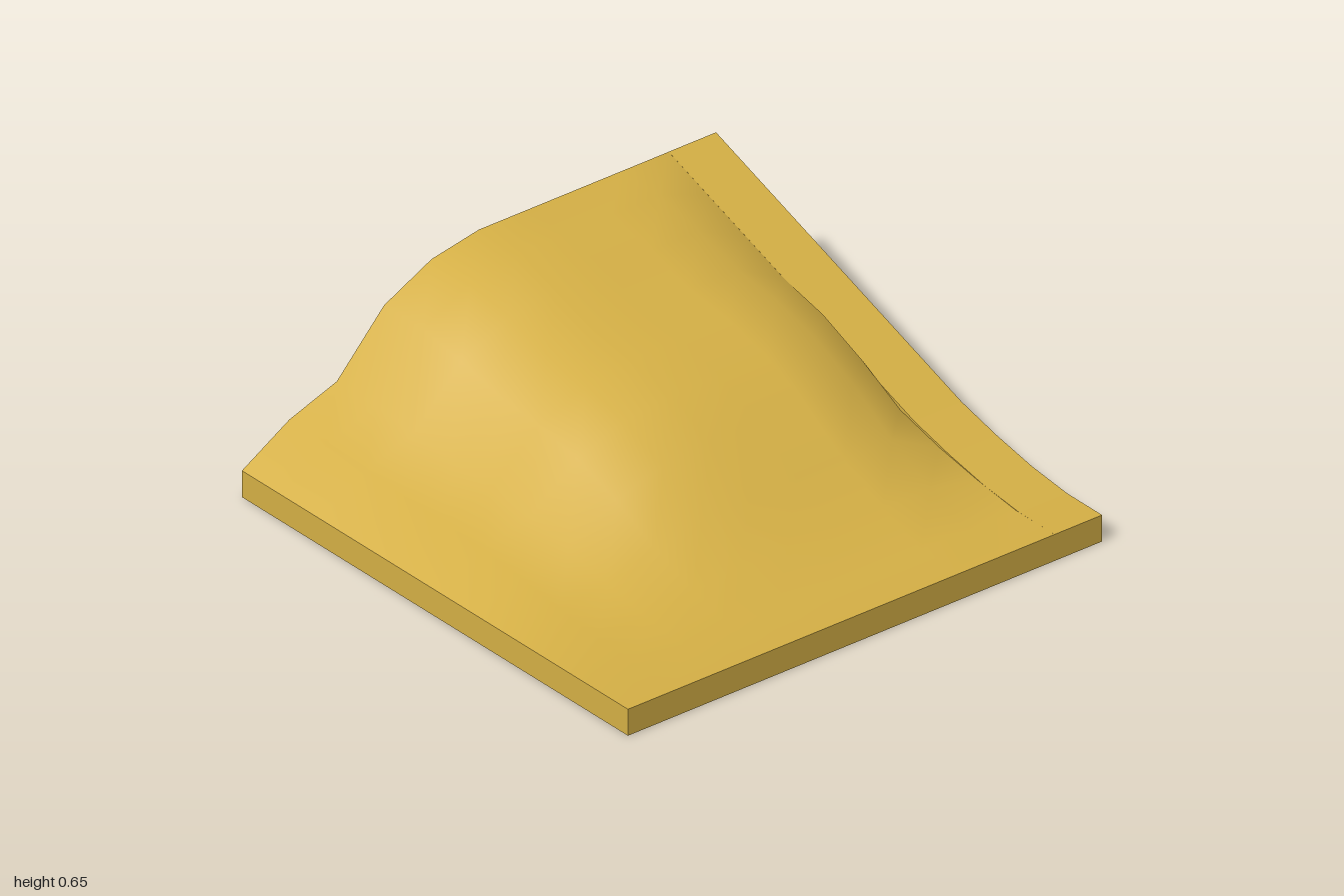
import * as THREE from 'three';
import { mergeGeometries } from 'three/addons/utils/BufferGeometryUtils.js';

const THICK = 0.1;

// evenly spaced values from a to b
const steps = (a, b, n) => Array.from({ length: n + 1 }, (_, i) => a + ((b - a) * i) / n);

// grid surface over us x vs, facing along dU x dV
function sheet(us, vs, point) {
  const pos = [], index = [], n = vs.length;
  us.forEach((u) => vs.forEach((v) => pos.push(...point(u, v))));
  for (let i = 0; i < us.length - 1; i++) {
    for (let j = 0; j < n - 1; j++) {
      const a = i * n + j, b = a + n;
      index.push(a, b, a + 1, b, b + 1, a + 1);
    }
  }
  const g = new THREE.BufferGeometry();
  g.setAttribute('position', new THREE.Float32BufferAttribute(pos, 3));
  g.setIndex(index);
  g.computeVertexNormals();
  return g;
}

// curved slab of constant thickness whose top follows height(x, z)
function slab(xs, zs, height) {
  const t = [0, 1];
  const y = (x, z, k) => height(x, z) - THICK * (1 - k);
  const x0 = xs[0], x1 = xs[xs.length - 1], z0 = zs[0], z1 = zs[zs.length - 1];
  return mergeGeometries([
    sheet(zs, xs, (z, x) => [x, y(x, z, 1), z]),
    sheet(xs, zs, (x, z) => [x, y(x, z, 0), z]),
    sheet(xs, t, (x, k) => [x, y(x, z1, k), z1]),
    sheet(t, xs, (k, x) => [x, y(x, z0, k), z0]),
    sheet(t, zs, (k, z) => [x1, y(x1, z, k), z]),
    sheet(zs, t, (z, k) => [x0, y(x0, z, k), z]),
  ]);
}

// linear lookup in values spaced evenly from -1
function sample(values, at, spacing) {
  const f = Math.max(0, (at + 1) / spacing);
  const i = Math.min(Math.floor(f + 1e-6), values.length - 2);
  return THREE.MathUtils.lerp(values[i], values[i + 1], f - i);
}

// hill: crest height from back to front, and its share from left to right
const CREST = [0.645, 0.645, 0.6, 0.545, 0.52, 0.47, 0.383, 0.26, 0.165, 0.1, 0.1];
const SHARE = [0, 0.22, 0.35, 0.745, 0.93, 1, 1, 1, 1, 1];
// hill edge where it meets the ramp
const EDGE = [0.645, 0.575, 0.505, 0.435, 0.39, 0.31, 0.21, 0.16, 0.125, 0.1, 0.1];

function hillHeight(x, z) {
  if (x > 0.79) return sample(EDGE, z, 0.2);
  return 0.1 + (sample(CREST, z, 0.2) - 0.1) * sample(SHARE, x, 0.2);
}

// ramp: straight climb to the back, easing out level at the front
function rampHeight(x, z) {
  if (z < 0.28) return 0.2 + (0.2727 - z) * 0.35;
  return 0.1 + 0.1 * Math.pow(Math.max(0, (0.83 - z) / 0.5573), 1.5);
}

export function createModel() {
  const model = new THREE.Group();
  model.name = 'terrainTile';
  const color = 0xd4af45;

  const hill = new THREE.Mesh(
    slab(steps(-1, 0.8, 9), steps(-1, 1, 10), hillHeight),
    new THREE.MeshStandardMaterial({ color })
  );
  hill.name = 'hillSlab';

  const ramp = new THREE.Mesh(
    slab([0.8, 1], steps(-1, 1, 11), rampHeight),
    new THREE.MeshStandardMaterial({ color, flatShading: true })
  );
  ramp.name = 'rampStrip';

  model.add(hill, ramp);
  return model;
}
